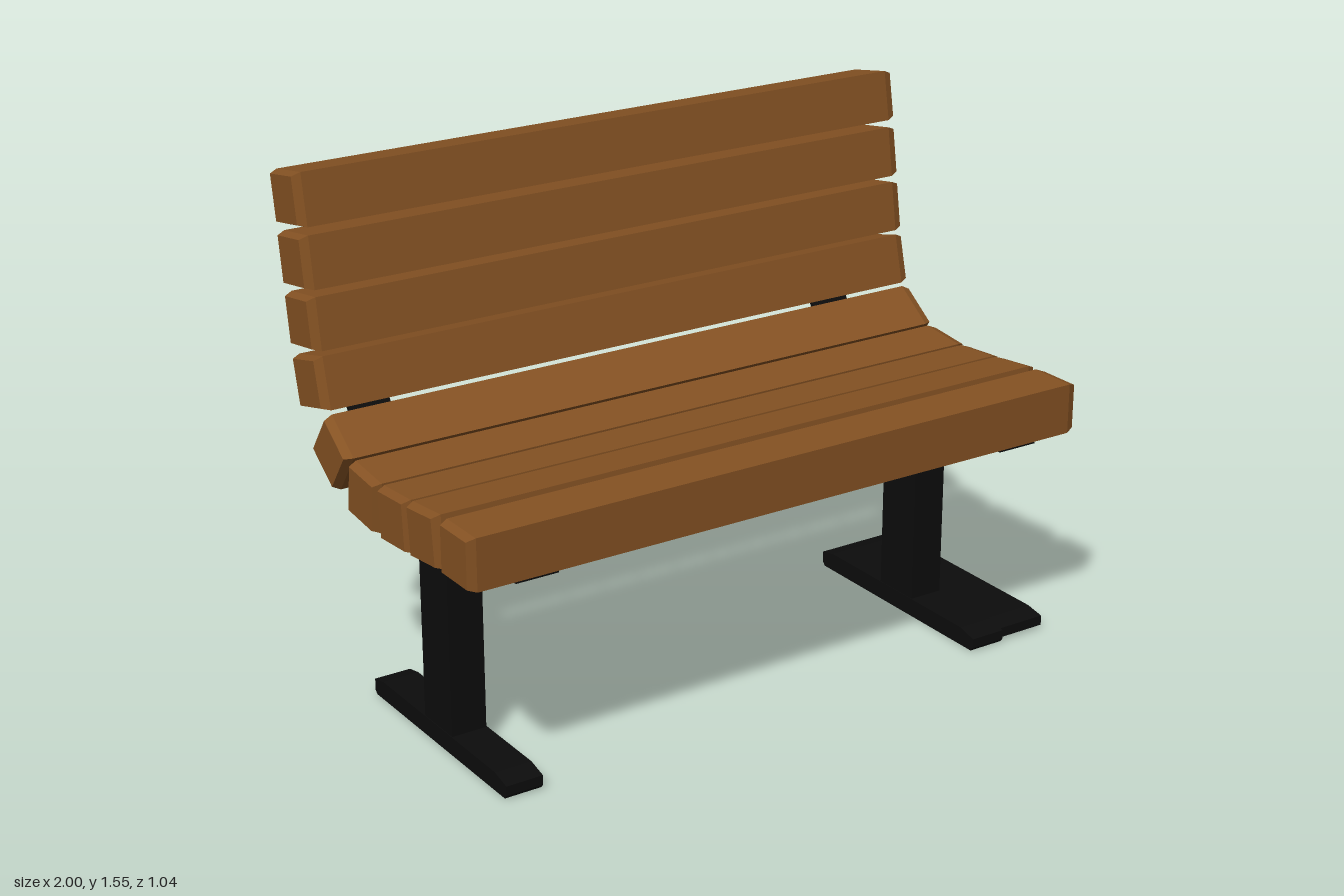
import * as THREE from 'three';

const wood = new THREE.MeshStandardMaterial({ color: 0x855223 });
wood.name = 'brownWood';
const iron = new THREE.MeshStandardMaterial({ color: 0x0c0c0c });
iron.name = 'blackIron';

// Extrudes a side outline given as [z, y] pairs from x0 to x1; bevel chamfers the two ends
function sideExtrude(points, x0, x1, bevel = 0, bevelDepth = 0) {
  const shape = new THREE.Shape(points.map(([z, y]) => new THREE.Vector2(z, y)));
  const depth = x1 - x0 - 2 * bevelDepth;
  const geo = new THREE.ExtrudeGeometry(shape, {
    depth, bevelEnabled: bevel > 0, bevelSize: bevel, bevelOffset: -bevel,
    bevelThickness: bevelDepth, bevelSegments: 1,
  });
  geo.translate(0, 0, -depth / 2);
  geo.rotateY(-Math.PI / 2);
  geo.translate((x0 + x1) / 2, 0, 0);
  return geo;
}

function add(parent, name, geo, material) {
  const mesh = new THREE.Mesh(geo, material);
  mesh.name = name;
  parent.add(mesh);
  return mesh;
}

// Outline of the bent strap: a smooth curve thickened towards the outside
function strapOutline(thickness) {
  const path = [
    [0.51, 0.676], [0.36, 0.672], [0.2, 0.656], [0.05, 0.648], [-0.08, 0.65], [-0.15, 0.662],
    [-0.25, 0.71], [-0.34, 0.785], [-0.4, 0.87], [-0.43, 0.98], [-0.463, 1.2], [-0.507, 1.49],
  ];
  const curve = new THREE.CatmullRomCurve3(path.map(([z, y]) => new THREE.Vector3(z, y, 0)));
  const inner = [], outer = [];
  for (let i = 0; i <= 40; i++) {
    const p = curve.getPointAt(i / 40), t = curve.getTangentAt(i / 40);
    inner.push([p.x, p.y]);
    outer.push([p.x - t.y * thickness, p.y + t.x * thickness]);
  }
  return [...inner, ...outer.reverse()];
}

export function createModel() {
  const bench = new THREE.Group();
  bench.name = 'parkBench';

  // Slats: z, y of the centre and tilt in degrees, from the seat front to the top of the back
  const slats = [
    [0.45, 0.75, 0], [0.278, 0.742, -6], [0.117, 0.728, -4], [-0.056, 0.73, 6], [-0.236, 0.797, 36],
    [-0.345, 0.965, -14], [-0.377, 1.13, -9], [-0.402, 1.295, -9], [-0.427, 1.462, -10],
  ];
  const h = 0.074;
  const slatGeo = sideExtrude([[-h, -h], [h, -h], [h, h], [-h, h]], -1, 0.985, 0.009, 0.025);
  slats.forEach(([z, y, tilt], i) => {
    const slat = add(bench, i < 5 ? 'seatSlat' : 'backSlat', slatGeo, wood);
    slat.position.set(0, y, z);
    slat.rotation.x = THREE.MathUtils.degToRad(tilt);
  });

  // Supports: strap, post and foot on each side
  const strap = strapOutline(0.012);
  const foot = [
    [0.41, 0], [0.42, 0.012], [0.42, 0.04], [0.36, 0.055],
    [-0.27, 0.055], [-0.32, 0.045], [-0.32, 0.01], [-0.31, 0],
  ].reverse();
  for (const [side, x] of [['right', -0.793], ['left', 0.787]]) {
    add(bench, side + 'Strap', sideExtrude(strap, x - 0.064, x + 0.064), iron);
    const post = add(bench, side + 'Post', new THREE.BoxGeometry(0.106, 0.61, 0.153), iron);
    post.position.set(x, 0.345, 0.048);
    add(bench, side + 'Foot', sideExtrude(foot, x - 0.056, x + 0.056), iron);
  }

  // The left foot carries a thinner plate that reaches outwards
  const plate = [
    [0.41, 0.012], [0.41, 0.042], [0.35, 0.053], [-0.27, 0.053], [-0.32, 0.045],
    [-0.32, 0.012], [-0.2, 0.02], [0.3, 0.02],
  ].reverse();
  add(bench, 'leftFootPlate', sideExtrude(plate, 0.835, 1), iron);

  return bench;
}
